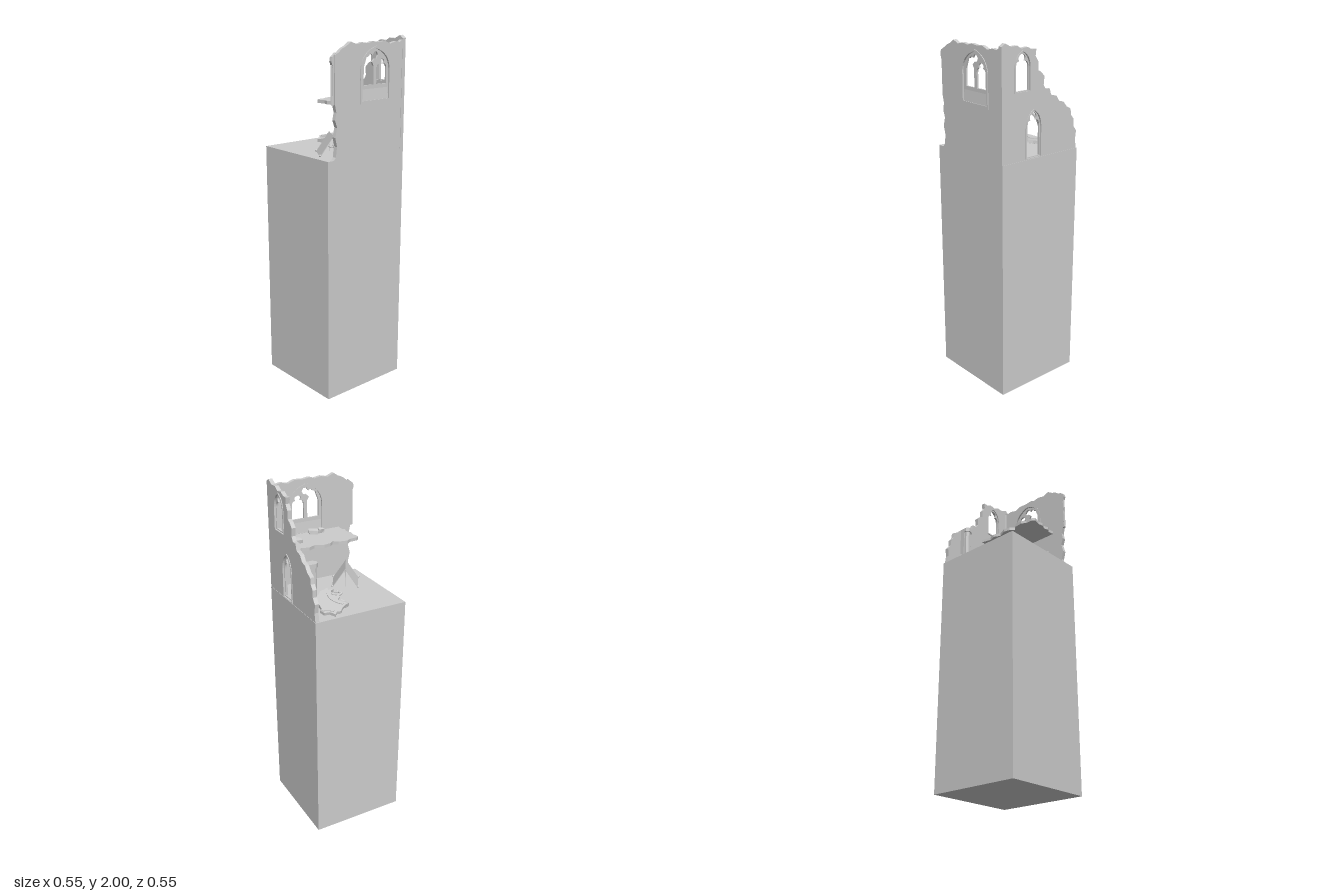
import * as THREE from 'three';

const mat = new THREE.MeshStandardMaterial({ color: 0xcccccc, flatShading: true, side: THREE.DoubleSide });
const FLOOR = 1.38;

function add(parent, name, geo, x = 0, y = 0, z = 0) {
  const m = new THREE.Mesh(geo, mat);
  m.name = name;
  m.position.set(x, y, z);
  parent.add(m);
  return m;
}

const poly = pts => new THREE.Shape(pts.map(p => new THREE.Vector2(p[0], p[1])));
const extrude = (shape, depth) => new THREE.ExtrudeGeometry(shape, { depth, bevelEnabled: false, curveSegments: 8 });
// flat slab from (x, z) points, thickness upwards
const slab = (pts, depth) => extrude(poly(pts.map(([x, z]) => [x, -z])), depth).rotateX(-Math.PI / 2);

// pointed arch: half width w, sill y0, springing ys, apex yt
function arch(cx, y0, w, ys, yt) {
  const s = new THREE.Shape();
  const h = yt - ys;
  s.moveTo(cx - w, y0);
  s.lineTo(cx + w, y0);
  s.lineTo(cx + w, ys);
  s.quadraticCurveTo(cx + w * 0.92, ys + h * 0.75, cx, yt);
  s.quadraticCurveTo(cx - w * 0.92, ys + h * 0.75, cx - w, ys);
  s.closePath();
  return s;
}

// cusped opening with a small lobe at the head
function trefoil(cx, y0, w, ys, yt) {
  const s = new THREE.Shape();
  const h = yt - ys, c = ys + h * 0.5;
  s.moveTo(cx - w, y0);
  s.lineTo(cx + w, y0);
  s.lineTo(cx + w, ys);
  s.quadraticCurveTo(cx + w, c, cx + w * 0.4, c);
  s.quadraticCurveTo(cx + w * 0.8, yt - h * 0.1, cx, yt);
  s.quadraticCurveTo(cx - w * 0.8, yt - h * 0.1, cx - w * 0.4, c);
  s.quadraticCurveTo(cx - w, c, cx - w, ys);
  s.closePath();
  return s;
}

function pierced(shape, ...holes) {
  shape.holes.push(...holes);
  return shape;
}

// angular stone with corners nudged by a rule
function stone(w, h, d, seed) {
  const g = new THREE.BoxGeometry(w, h, d, 2, 1, 2);
  const p = g.attributes.position;
  for (let i = 0; i < p.count; i++) {
    const x = p.getX(i), y = p.getY(i), z = p.getZ(i);
    const k = Math.sin(seed * 7 + x * 310 + y * 170 + z * 230);
    p.setXYZ(i, x * (1 + 0.12 * k), y * (1 + 0.2 * k), z * (1 - 0.12 * k));
  }
  return g;
}

function buildBackWall() {
  const g = new THREE.Group();
  g.name = 'backWall';
  const outline = [[-0.27, 1.38], [0.272, 1.38], [0.272, 1.985], [0.25, 2], [0.21, 1.98], [0.17, 1.982], [0.14, 1.965],
    [0.1, 1.97], [0.07, 1.955], [0.04, 1.955], [0.045, 1.92], [0.025, 1.89], [0.025, 1.845], [0.005, 1.835], [-0.02, 1.81],
    [-0.015, 1.765], [-0.03, 1.74], [-0.06, 1.74], [-0.07, 1.705], [-0.11, 1.695], [-0.13, 1.665], [-0.165, 1.655],
    [-0.19, 1.625], [-0.22, 1.61], [-0.225, 1.575], [-0.245, 1.55], [-0.245, 1.51], [-0.268, 1.48], [-0.262, 1.43]];
  const lower = [0.051, 1.385, 0.05, 1.55, 1.64];
  const upper = [0.132, 1.745, 0.05, 1.87, 1.95];
  add(g, 'wall', extrude(pierced(poly(outline), arch(...lower), arch(...upper)), 0.023), 0, 0, -0.273);
  for (const [cx, y0, w, ys, yt] of [lower, upper]) {
    add(g, 'tracery', extrude(pierced(arch(cx, y0, w, ys, yt), trefoil(cx, y0 + 0.005, w - 0.005, ys - 0.005, yt - 0.012)), 0.01), 0, 0, -0.266);
    add(g, 'outerFrame', extrude(pierced(arch(cx, y0, w + 0.008, ys, yt + 0.008), arch(cx, y0 + 0.002, w, ys, yt)), 0.004), 0, 0, -0.277);
  }
  // broad blind arch inside, under the upper floor
  add(g, 'innerArch', extrude(pierced(arch(0.105, 1.38, 0.125, 1.52, 1.652), arch(0.105, 1.381, 0.113, 1.52, 1.642)), 0.006), 0, 0, -0.251);
  add(g, 'upperSill', new THREE.BoxGeometry(0.115, 0.008, 0.006), 0.132, 1.742, -0.248);
  return g;
}

function buildSideWall() {
  const g = new THREE.Group();
  g.name = 'sideWall';
  // drawn with u = -z, then turned to face +x
  const turn = geo => geo.rotateY(Math.PI / 2);
  const outline = [[-0.235, 1.38], [0.255, 1.38], [0.255, 1.98], [0.23, 1.965], [0.2, 1.97], [0.16, 1.96], [0.12, 1.975],
    [0.07, 1.972], [0.03, 1.978], [0, 1.968], [-0.04, 1.975], [-0.08, 1.966], [-0.12, 1.982], [-0.15, 1.962], [-0.18, 1.95],
    [-0.205, 1.93], [-0.23, 1.92], [-0.228, 1.67], [-0.218, 1.63], [-0.227, 1.59], [-0.213, 1.55], [-0.226, 1.5],
    [-0.213, 1.45], [-0.222, 1.395]];
  const opening = () => arch(0.055, 1.672, 0.098, 1.835, 1.94);
  add(g, 'wall', turn(extrude(pierced(poly(outline), opening()), 0.022)), 0.248, 0, 0);

  // twin-light tracery, one light broken through to the roundel
  const broken = poly([[-0.025, 1.752], [0.045, 1.752], [0.045, 1.85], [0.033, 1.87], [0.05, 1.886], [0.066, 1.886],
    [0.077, 1.905], [0.066, 1.922], [0.048, 1.922], [0.036, 1.905], [0.022, 1.915], [0.008, 1.9], [-0.006, 1.897], [-0.025, 1.845]]);
  add(g, 'tracery', turn(extrude(pierced(opening(), broken, trefoil(0.102, 1.752, 0.036, 1.83, 1.885)), 0.01)), 0.254, 0, 0);
  add(g, 'outerFrame', turn(extrude(pierced(arch(0.055, 1.656, 0.11, 1.84, 1.953), opening()), 0.004)), 0.27, 0, 0);
  add(g, 'innerFrame', turn(extrude(pierced(arch(0.055, 1.662, 0.106, 1.84, 1.948), opening()), 0.004)), 0.245, 0, 0);
  const sill = poly([[0.248, 1.672], [0.27, 1.672], [0.262, 1.752], [0.256, 1.752]]);
  add(g, 'slopedSill', extrude(sill, 0.19), 0, 0, -0.15);

  // broken jamb at the free end, curving into a lost arch
  const jamb = poly([[-0.2, 1.668], [-0.238, 1.668], [-0.236, 1.86], [-0.247, 1.89], [-0.243, 1.91], [-0.215, 1.932], [-0.2, 1.9]]);
  add(g, 'endJamb', turn(extrude(jamb, 0.016)), 0.248, 0, 0);
  add(g, 'endShaft', new THREE.CylinderGeometry(0.006, 0.006, 0.2, 8), 0.255, 1.77, 0.238);
  // shafts in the inner corner
  add(g, 'cornerShaft', new THREE.CylinderGeometry(0.008, 0.008, 0.27, 8), 0.242, 1.515, -0.244);
  add(g, 'cornerShaft', new THREE.CylinderGeometry(0.006, 0.006, 0.29, 8), 0.244, 1.815, -0.246);
  return g;
}

function buildTent() {
  const g = new THREE.Group();
  g.name = 'tent';
  const half = 0.073, h = 0.11, t = 0.004;
  const cloth = poly([[-half, 0], [0, h], [half, 0], [half - t, 0], [0, h - t * 1.5], [-half + t, 0]]);
  add(g, 'canvas', extrude(cloth, 0.146), 0, 0, -0.073);
  for (const x of [-half, half]) for (const z of [-half, half])
    add(g, 'peg', new THREE.SphereGeometry(0.007, 8, 6), x, 0.005, z);
  for (const z of [-0.066, 0.066])
    add(g, 'pole', new THREE.CylinderGeometry(0.002, 0.002, h - 0.006, 6), 0, (h - 0.006) / 2, z);
  g.position.set(0.12, FLOOR, 0.125);
  g.rotation.y = Math.atan2(0.125, 0.075);
  return g;
}

function buildFallenWall() {
  const g = new THREE.Group();
  g.name = 'fallenWall';
  const cx = -0.14, cz = -0.12;
  const outline = [[-0.265, -0.15], [-0.235, -0.17], [-0.232, -0.2], [-0.2, -0.21], [-0.19, -0.195], [-0.15, -0.19], [-0.1, -0.175],
    [-0.07, -0.165], [-0.062, -0.145], [-0.035, -0.125], [-0.03, -0.1], [-0.018, -0.07], [-0.04, -0.075], [-0.047, -0.045],
    [-0.055, -0.068], [-0.075, -0.077], [-0.095, -0.065], [-0.1, -0.048], [-0.12, -0.05], [-0.14, -0.068], [-0.165, -0.08],
    [-0.19, -0.065], [-0.2, -0.055], [-0.22, -0.085], [-0.248, -0.11], [-0.245, -0.135]];
  add(g, 'slab', slab(outline.map(([x, z]) => [x - cx, z - cz]), 0.016));
  // moulded arch bands on the fallen face
  const band = (x, z, r, w, a, b) => {
    const s = new THREE.Shape();
    s.absarc(x - cx, -(z - cz), r + w, a, b, false);
    s.absarc(x - cx, -(z - cz), r, b, a, true);
    add(g, 'archBand', extrude(s, 0.006).rotateX(-Math.PI / 2), 0, 0.014, 0);
  };
  band(-0.115, -0.01, 0.08, 0.022, 0.85, 2.5);
  band(-0.075, -0.05, 0.024, 0.008, 0.2, 2.9);
  band(-0.3, -0.21, 0.085, 0.012, 5.5, 6.2);
  g.position.set(cx, 1.404, cz);
  g.rotation.z = 0.17;
  return g;
}

export function createModel() {
  const root = new THREE.Group();
  root.name = 'ruin';
  add(root, 'pedestal', new THREE.BoxGeometry(0.546, FLOOR, 0.55), -0.003, FLOOR / 2, 0);
  root.add(buildBackWall(), buildSideWall(), buildTent(), buildFallenWall());

  // upper floor with a ragged free edge
  const floor = [[0.25, -0.255], [0.022, -0.255], [0.04, -0.19], [0.025, -0.15], [0.045, -0.11], [0.024, -0.06], [0.032, -0.02],
    [0.053, 0.005], [0.03, 0.03], [0.023, 0.08], [0.04, 0.11], [0.042, 0.15], [0.055, 0.167], [0.1, 0.157], [0.13, 0.163],
    [0.16, 0.15], [0.19, 0.16], [0.21, 0.146], [0.25, 0.152]];
  add(root, 'upperFloor', slab(floor, 0.018), 0, 1.652, 0);

  // engaged octagonal column against the back wall
  const column = new THREE.Group();
  column.name = 'column';
  for (const [r, y0, y1] of [[0.027, 0, 0.03], [0.02, 0.03, 0.25], [0.027, 0.25, 0.275]])
    add(column, 'columnDrum', new THREE.CylinderGeometry(r, r, y1 - y0, 8).rotateY(Math.PI / 8), 0, (y0 + y1) / 2, 0);
  add(column, 'backing', new THREE.BoxGeometry(0.05, 0.275, 0.03), 0, 0.1375, -0.02);
  column.position.set(-0.14, FLOOR, -0.217);
  root.add(column);

  // loose stones: x, y, z, width, depth, turn
  const stones = [[-0.16, 1.392, -0.045, 0.05, 0.034, 0.45], [0.12, 1.681, -0.177, 0.034, 0.052, 0.1],
    [0.157, 1.681, -0.2, 0.024, 0.038, -0.6], [0.212, 1.681, -0.03, 0.034, 0.05, -0.4], [0.211, 1.681, 0.015, 0.024, 0.034, 0.1]];
  stones.forEach(([x, y, z, w, d, a], i) => {
    add(root, 'looseStone', stone(w, 0.024, d, i), x, y, z).rotation.set(0.08, a, 0.1);
  });

  // ring of stones round the fire
  const ring = new THREE.Group();
  ring.name = 'fireRing';
  for (let i = 0; i < 12; i++) {
    const a = i * Math.PI / 6;
    add(ring, 'ringStone', new THREE.SphereGeometry(0.0075, 8, 6), Math.cos(a) * 0.024, 0.004, Math.sin(a) * 0.024);
  }
  ring.position.set(-0.004, FLOOR, 0);
  root.add(ring);
  return root;
}
